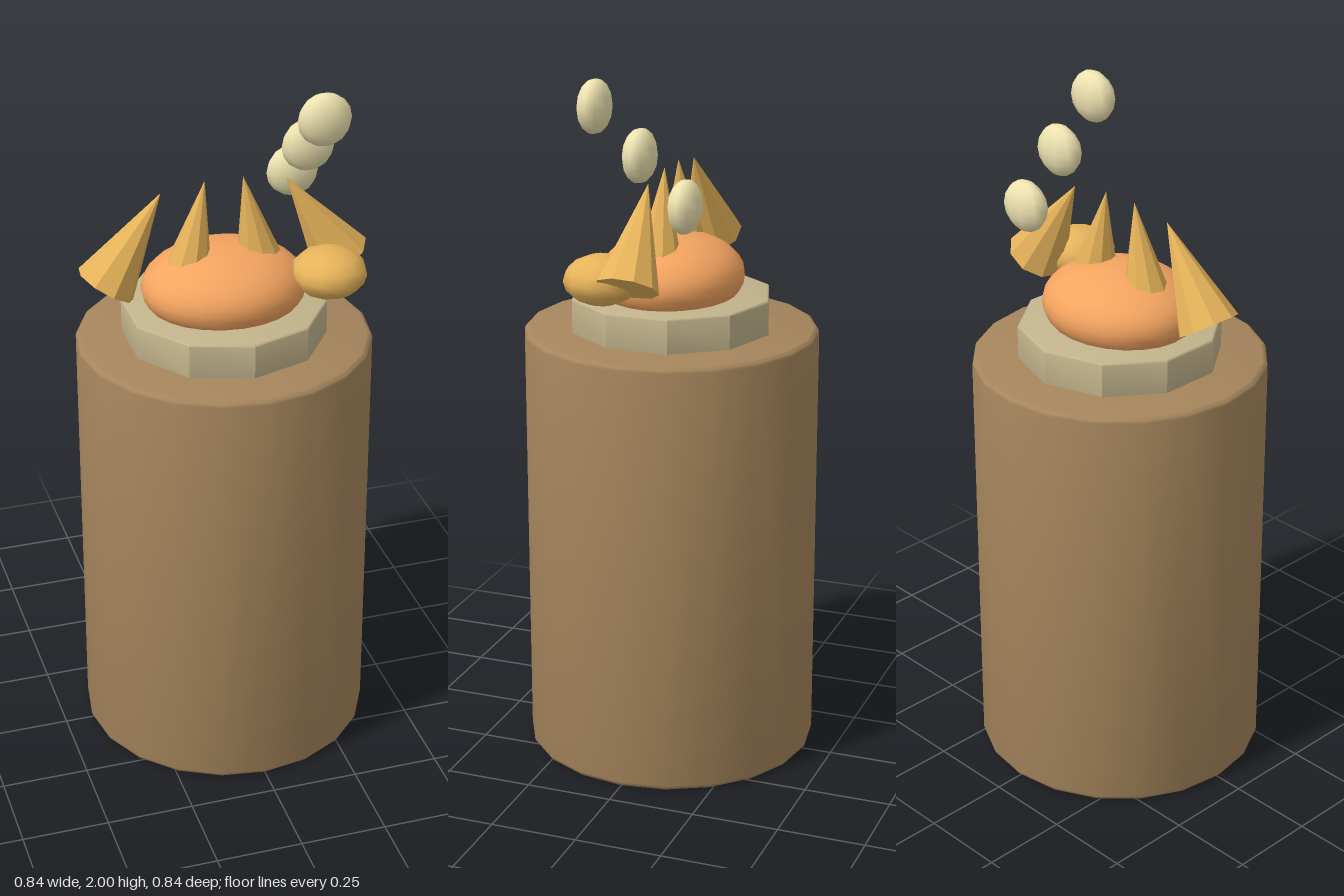
import * as THREE from 'three';
import { toCreasedNormals } from 'three/addons/utils/BufferGeometryUtils.js';

const BROWN = 0xa5855c, STONE = 0xc2b48c, ORANGE = 0xf4a460, GOLD = 0xe6b35a, CREAM = 0xeee3b0;

function part(name, geometry, color, flatShading = false) {
  const mesh = new THREE.Mesh(geometry, new THREE.MeshStandardMaterial({ color, flatShading }));
  mesh.name = name;
  return mesh;
}

// Closed drum with softly rounded rims
function drum(radius, y0, y1, sides, bevel) {
  const points = [new THREE.Vector2(0, y0)];
  for (const [cy, start] of [[y0 + bevel, -Math.PI / 2], [y1 - bevel, 0]]) {
    for (let i = 0; i <= 3; i++) {
      const a = start + (i / 3) * Math.PI / 2;
      points.push(new THREE.Vector2(radius - bevel + bevel * Math.cos(a), cy + bevel * Math.sin(a)));
    }
  }
  points.push(new THREE.Vector2(0, y1));
  return toCreasedNormals(new THREE.LatheGeometry(points, sides), 0.6);
}

function ellipsoid(name, center, radii, color, w, h) {
  const mesh = part(name, new THREE.SphereGeometry(1, w, h).scale(...radii), color);
  mesh.position.set(...center);
  return mesh;
}

// Cone whose base centre and tip lie in the z = 0 plane
function spike(name, base, tip, radius) {
  const a = new THREE.Vector3(base[0], base[1], 0);
  const b = new THREE.Vector3(tip[0], tip[1], 0);
  const mesh = part(name, new THREE.ConeGeometry(radius, a.distanceTo(b), 9), GOLD, true);
  mesh.position.copy(a).add(b).multiplyScalar(0.5);
  mesh.rotation.z = -Math.atan2(b.x - a.x, b.y - a.y);
  return mesh;
}

export function createModel() {
  const model = new THREE.Group();
  model.name = 'pedestal';

  // Pillar and plinth
  model.add(part('pillar', drum(0.42, 0, 1.26, 20, 0.015), BROWN));
  model.add(part('plinth', drum(0.29, 1.25, 1.36, 10, 0.006), STONE));

  // Rounded body and the nugget beside it
  model.add(ellipsoid('body', [0, 1.41, 0], [0.235, 0.12, 0.205], ORANGE, 24, 16));
  model.add(ellipsoid('nugget', [0.275, 1.455, 0.1], [0.108, 0.07, 0.108], GOLD, 12, 8));

  // Crown of four spikes leaning inward
  for (const s of [-1, 1]) {
    model.add(spike('outerSpike', [s * 0.34, 1.455], [s * 0.18, 1.71], 0.088));
    model.add(spike('innerSpike', [s * 0.106, 1.457], [s * 0.055, 1.73], 0.07));
  }

  // Floating beads rising toward the front
  for (const [y, z] of [[1.67, -0.13], [1.8, 0], [1.925, 0.13]]) {
    model.add(ellipsoid('bead', [0.242, y, z], [0.077, 0.075, 0.045], CREAM, 10, 8));
  }
  return model;
}
